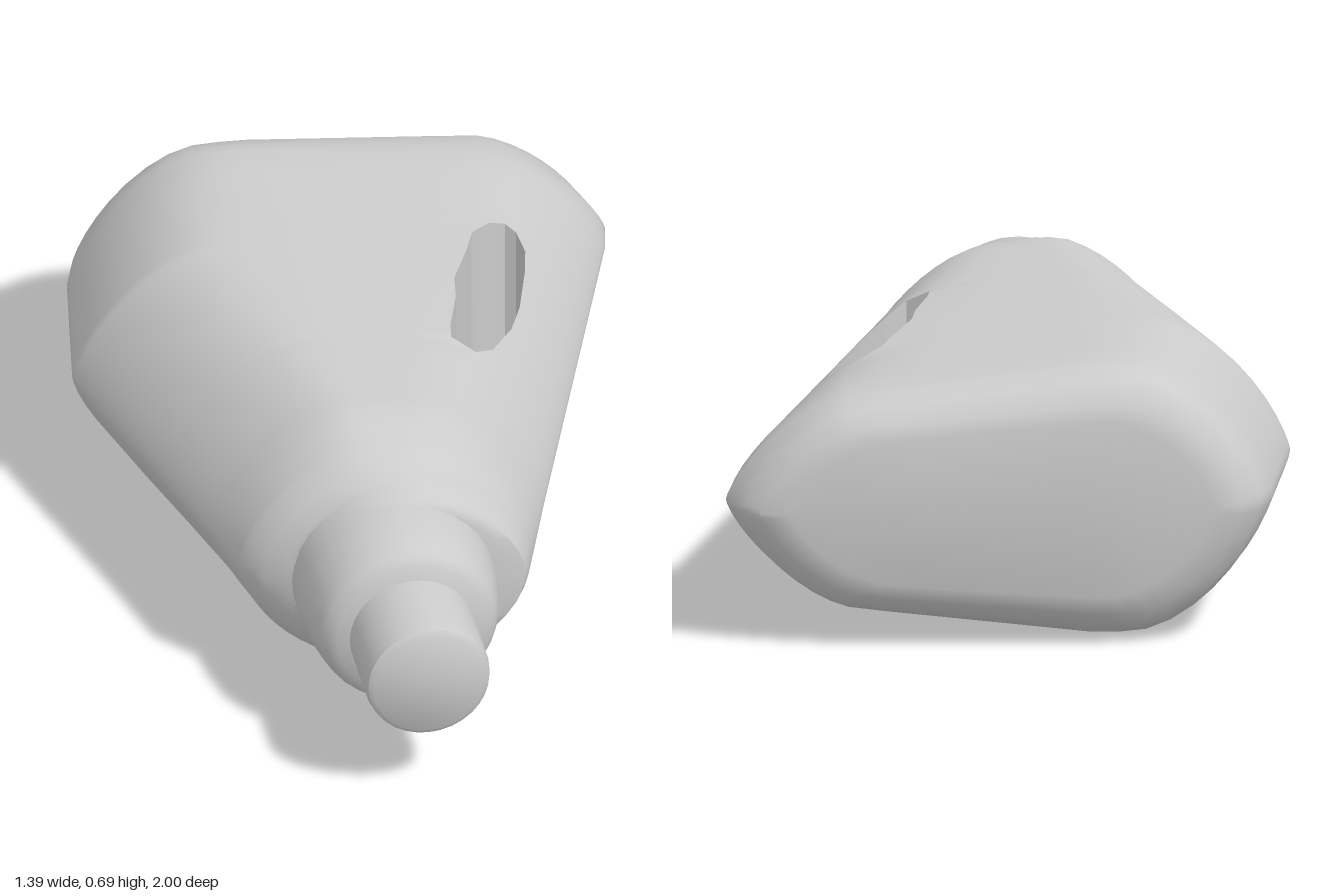
import * as THREE from 'three';
import { toCreasedNormals } from 'three/addons/utils/BufferGeometryUtils.js';

const MID = 0.345; // height of the long axis above the ground

// Tables of [z, value], read by linear interpolation
const LEFT = [[-1, -0.5], [-0.985, -0.56], [-0.93, -0.61], [-0.85, -0.637], [-0.46, -0.7], [-0.24, -0.64], [0, -0.57], [0.42, -0.452], [0.47, -0.41], [0.51, -0.345], [0.59, -0.32]];
const RIGHT = [[-1, 0.55], [-0.985, 0.62], [-0.93, 0.667], [-0.84, 0.695], [-0.76, 0.68], [0.55, 0.235], [0.58, 0.22], [0.59, 0.18]];
const HEIGHT = [[-1, 0.22], [-0.985, 0.265], [-0.94, 0.31], [-0.88, 0.337], [-0.8, 0.345], [0.3, 0.345], [0.42, 0.315], [0.52, 0.28], [0.57, 0.262], [0.59, 0.245]];
const HOLE_L = [[-1, 0.4], [-0.55, 0.39], [-0.535, 0.35], [-0.48, 0.295], [-0.4, 0.265], [-0.28, 0.212], [-0.2, 0.2], [-0.08, 0.163], [-0.03, 0.155], [0, 0.21], [0.59, -0.03]];
const HOLE_R = [[-1, 0.4], [-0.55, 0.39], [-0.535, 0.415], [-0.48, 0.427], [-0.4, 0.41], [-0.26, 0.37], [-0.16, 0.33], [-0.04, 0.26], [0, 0.21], [0.59, -0.03]];

function read(table, z) {
  let i = 1;
  while (i < table.length - 1 && z > table[i][0]) i++;
  const [z0, v0] = table[i - 1], [z1, v1] = table[i];
  return v0 + (v1 - v0) * THREE.MathUtils.clamp((z - z0) / (z1 - z0), 0, 1);
}

// Half thickness of the body: flat faces thinning towards +x, with rounded sides
function halfHeight(x, z) {
  const xl = read(LEFT, z), xr = read(RIGHT, z), w = xr - xl;
  const back = z < -0.85 ? 1 - (-0.85 - z) * 1.5 : 1;
  const power = THREE.MathUtils.lerp(0.75, 0.52, THREE.MathUtils.smoothstep(z, 0.2, 0.55));
  const side = (d, r) => {
    const t = THREE.MathUtils.clamp(1 - d / r, 0, 1);
    return Math.pow(1 - Math.pow(t, 1.8), power);
  };
  const slope = 1 - Math.max(0, x + 0.2) * 0.35;
  return read(HEIGHT, z) * slope * side(x - xl, Math.min(0.36 * back, w / 2)) * side(xr - x, Math.min(0.32 * back, w / 2));
}

// Body: two strips of columns, either side of the hole, that meet beyond its ends
function bodyGeometry() {
  const zs = new Set([LEFT, RIGHT, HEIGHT, HOLE_L, HOLE_R].flat().map((p) => p[0]));
  for (let z = -0.75; z < 0.56; z += 0.05) zs.add(Math.round(z * 100) / 100);
  const rows = [...zs].sort((a, b) => a - b);
  const last = rows.length - 1;
  const pos = [];
  const quad = (a, b, c, d, flip) => {
    const order = flip ? [a, c, b, a, d, c] : [a, b, c, a, c, d];
    order.forEach((p) => pos.push(...p));
  };
  const strip = (count, xAt, wallColumn, flipWall) => {
    const grid = (sign) => rows.map((z) => Array.from({ length: count + 1 }, (_, j) => {
      const x = xAt(z, j / count);
      return [x, MID + sign * halfHeight(x, z), z];
    }));
    const top = grid(1), low = grid(-1);
    for (let i = 0; i < last; i++) {
      for (let j = 0; j < count; j++) {
        for (const [g, flip] of [[top, false], [low, true]]) {
          quad(g[i][j], g[i + 1][j], g[i + 1][j + 1], g[i][j + 1], flip);
        }
      }
      // wall of the hole
      if (rows[i] >= -0.55 && rows[i + 1] <= 0) {
        const k = wallColumn;
        quad(low[i][k], top[i][k], top[i + 1][k], low[i + 1][k], flipWall);
      }
    }
    // flat back and front ends
    for (let j = 0; j < count; j++) {
      for (const [i, flip] of [[0, false], [last, true]]) {
        quad(low[i][j], top[i][j], top[i][j + 1], low[i][j + 1], flip);
      }
    }
  };
  const A = 18, B = 10;
  strip(A, (z, s) => {
    const xl = read(LEFT, z);
    return xl + (read(HOLE_L, z) - xl) * (1 - Math.cos(s * Math.PI / 2));
  }, A, false);
  strip(B, (z, s) => {
    const x0 = read(HOLE_R, z);
    return x0 + (read(RIGHT, z) - x0) * Math.sin(s * Math.PI / 2);
  }, 0, true);
  const geometry = new THREE.BufferGeometry();
  geometry.setAttribute('position', new THREE.Float32BufferAttribute(pos, 3));
  return toCreasedNormals(geometry, 0.7);
}

// Round part along z, from a profile of [radius, z]
function turned(profile) {
  const geometry = new THREE.LatheGeometry(profile.map(([r, z]) => new THREE.Vector2(r, z)), 32);
  geometry.rotateX(Math.PI / 2);
  geometry.translate(-0.1, MID, 0);
  return toCreasedNormals(geometry, 0.7);
}

export function createModel() {
  const group = new THREE.Group();
  const material = new THREE.MeshStandardMaterial({ color: 0xcccccc });
  const add = (name, geometry) => {
    const mesh = new THREE.Mesh(geometry, material);
    mesh.name = name;
    group.add(mesh);
  };
  add('bottleBody', bodyGeometry());
  add('collar', turned([[0.245, 0.46], [0.243, 0.6], [0.235, 0.67], [0.222, 0.73], [0.21, 0.755], [0.185, 0.772], [0.14, 0.785]]));
  add('neckCap', turned([[0.155, 0.74], [0.155, 0.965], [0.15, 0.99], [0.137, 1], [0, 1]]));
  return group;
}
